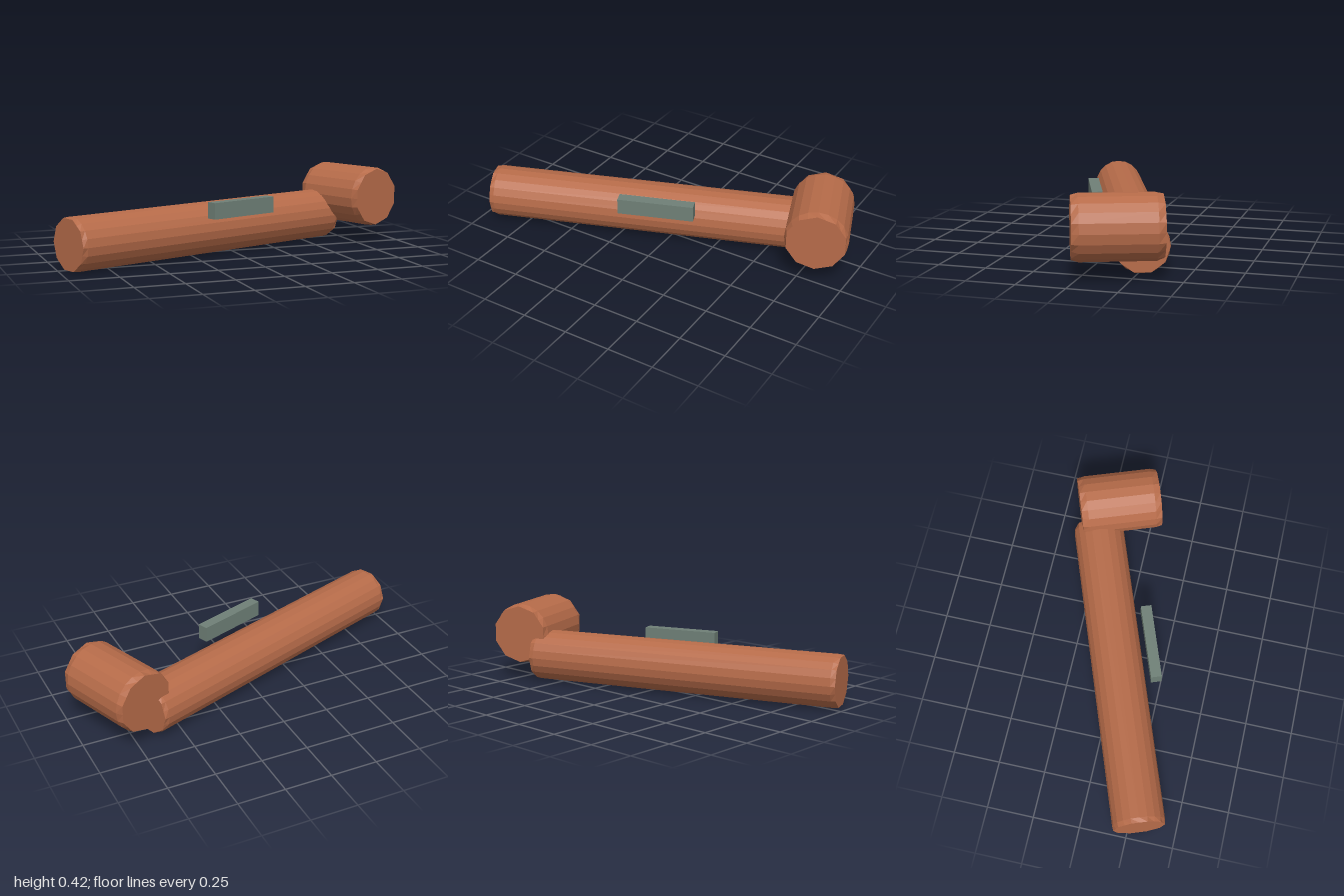
import * as THREE from 'three';

const SIDES = 20;
const TURN = THREE.MathUtils.degToRad(20);

// Faceted bar along y: a 20-sided body whose slightly tapered ends close to a 10-sided cap
function bar(radius, endRadius, length, taper) {
  const h = length / 2;
  const profile = [
    [0, -h], [endRadius, -h], [radius, -h + taper],
    [radius, h - taper], [endRadius, h], [0, h],
  ].map(([x, y]) => new THREE.Vector2(x, y));
  const geometry = new THREE.LatheGeometry(profile, SIDES);
  const pos = geometry.attributes.position;
  const chord = Math.cos(Math.PI / 10);
  for (let i = 1; i <= SIDES; i += 2) {
    for (const j of [1, 4]) {
      const k = i * profile.length + j;
      pos.setX(k, pos.getX(k) * chord);
      pos.setZ(k, pos.getZ(k) * chord);
    }
  }
  return geometry;
}

export function createModel() {
  const model = new THREE.Group();
  model.name = 'mallet';

  const copper = new THREE.MeshStandardMaterial({ color: 0xb66b49, flatShading: true });
  copper.name = 'copper brown';
  const greyGreen = new THREE.MeshStandardMaterial({ color: 0x6f8077, flatShading: true });
  greyGreen.name = 'grey green';

  function add(name, geometry, material, x, y, z) {
    const mesh = new THREE.Mesh(geometry, material);
    mesh.name = name;
    mesh.position.set(x, y, z);
    mesh.rotation.y = TURN;
    model.add(mesh);
  }

  // Long handle lying on the ground
  const handle = bar(0.138, 0.135, 1.72, 0.025).rotateZ(-Math.PI / 2);
  add('handle', handle, copper, -0.149, 0.138, 0.017);

  // Short thick head across the end of the handle
  const head = bar(0.164, 0.157, 0.44, 0.035).rotateX(Math.PI / 2);
  add('head', head, copper, 0.78, 0.256, -0.183);

  // Small block beside the handle
  add('sideBlock', new THREE.BoxGeometry(0.404, 0.085, 0.057), greyGreen, -0.003, 0.257, 0.165);

  return model;
}
